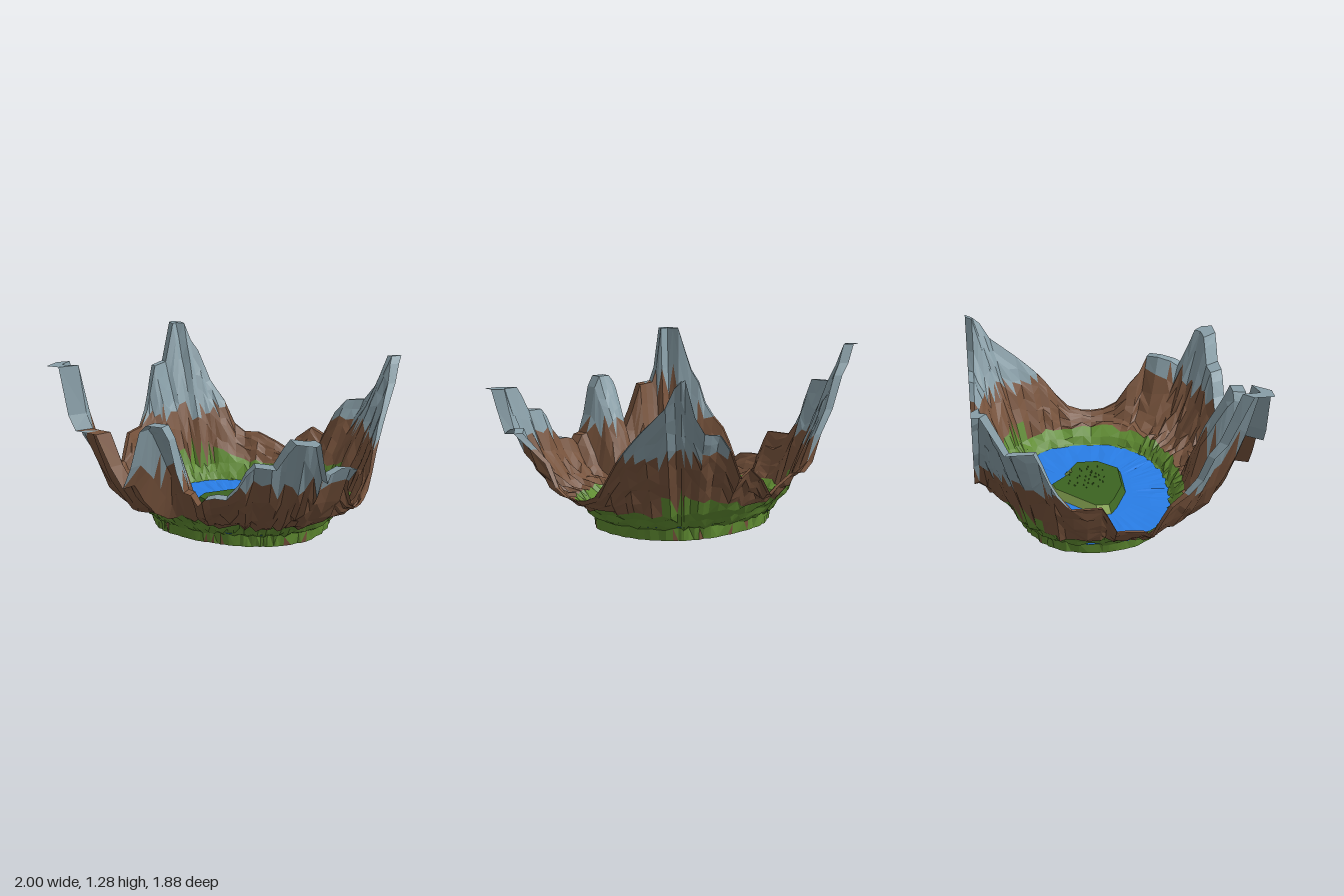
import * as THREE from 'three';

const mat = (name, color) => {
  const m = new THREE.MeshStandardMaterial({ color, side: THREE.DoubleSide });
  m.name = name;
  return m;
};

// repeatable noise in -1..1
const noise = (a, b) => {
  const s = Math.sin(a * 127.1 + b * 311.7 + 4.3) * 43758.5453;
  return (s - Math.floor(s)) * 2 - 1;
};

// ridge profiles along the four edges of the square: [position, height]
const BACK = [[-1, 1.25], [-0.92, 1.25], [-0.86, 1.12], [-0.79, 1.04], [-0.68, 0.81], [-0.55, 0.65], [-0.46, 0.47], [-0.37, 0.41],
  [-0.25, 0.42], [-0.1, 0.36], [0, 0.31], [0.08, 0.42], [0.2, 0.51], [0.3, 0.46], [0.4, 0.65], [0.5, 0.76], [0.65, 0.78],
  [0.75, 0.9], [0.84, 1.13], [0.88, 1.13]];
const RIGHT = [[-0.94, 1.13], [-0.88, 1.08], [-0.8, 0.95], [-0.7, 0.87], [-0.6, 0.79], [-0.5, 0.7], [-0.43, 0.63], [-0.36, 0.55],
  [-0.27, 0.42], [-0.18, 0.32], [-0.08, 0.28], [0, 0.27], [0.1, 0.28], [0.2, 0.33], [0.3, 0.48], [0.4, 0.57], [0.48, 0.68],
  [0.56, 0.7], [0.66, 0.68], [0.72, 0.64], [0.8, 0.8], [0.86, 0.94], [0.94, 0.94]];
const FRONT = [[-1, 1.28], [-0.91, 1.28], [-0.85, 0.96], [-0.8, 0.86], [-0.65, 0.85], [-0.55, 0.64], [-0.46, 0.5], [-0.4, 0.65],
  [-0.33, 0.9], [-0.28, 0.95], [-0.17, 0.95], [-0.12, 0.87], [-0.07, 0.66], [-0.02, 0.53], [0.03, 0.52], [0.08, 0.45],
  [0.13, 0.5], [0.2, 0.52], [0.28, 0.52], [0.36, 0.6], [0.42, 0.7], [0.48, 0.76], [0.62, 0.76], [0.7, 0.88], [0.75, 0.94], [0.88, 0.94]];
const LEFT = [[-0.94, 1.25], [-0.89, 1.25], [-0.79, 1.05], [-0.75, 0.97], [-0.57, 0.97], [-0.53, 0.88], [-0.48, 0.75],
  [-0.43, 0.65], [-0.34, 0.54], [-0.14, 0.54], [-0.1, 0.47], [-0.04, 0.35], [0.05, 0.35], [0.14, 0.34], [0.2, 0.3], [0.26, 0.42],
  [0.32, 0.52], [0.42, 0.6], [0.51, 0.7], [0.58, 0.86], [0.66, 0.95], [0.73, 1.1], [0.81, 1.28], [0.94, 1.28]];

const CX = -0.055, CZ = -0.105, RX = 0.655, RZ = 0.54;

// edge points clockwise from the back left corner: x, z, ridge height, slope power, start of the level rim
function edgePoints() {
  const sides = [[BACK, (v) => [v, -0.94]], [RIGHT, (v) => [0.88, v]],
    [FRONT.slice().reverse(), (v) => [v, 0.94]], [LEFT.slice().reverse(), (v) => [-1, v]]];
  const pts = [];
  sides.forEach(([table, place], side) => {
    const add = (v, y) => {
      const [x, z] = place(v);
      // overhanging crag on the right edge
      const crag = side === 1 ? Math.max(0, 0.12 - Math.abs(z - 0.48)) : 0;
      // back slopes rise evenly, front ones late, the middle peak early
      const peak = side === 2 && x > -0.42 && x < -0.04;
      const p = peak ? 0.75 : 0.95 + 1.3 * THREE.MathUtils.smoothstep(z, -0.5, 0.4);
      pts.push({ x: x + crag, z, y, p, rim: side === 2 ? 0.78 : 0.85 });
    };
    for (let i = 0; i + 1 < table.length; i++) {
      const [a, ya] = table[i], [b, yb] = table[i + 1];
      add(a, ya);
      if (Math.abs(b - a) > 0.105) add((a + b) / 2, (ya + yb) / 2);
    }
  });
  return pts;
}

// fraction of the way from lake centre to an edge point where the shore lies
const shoreFraction = (p) =>
  (Math.abs((p.x - CX) / RX) ** 2.3 + Math.abs((p.z - CZ) / RZ) ** 2.3) ** (-1 / 2.3);

// loop around the lake at a scale of the shoreline
const lakeLoop = (edge, s, y, seed, rough, wave) => edge.map((p, i) => {
  const k = shoreFraction(p) * (s + rough * noise(i, seed));
  return [CX + (p.x - CX) * k, y + wave * noise(seed, i), CZ + (p.z - CZ) * k];
});

// shell of rings: stepped green bank, slopes, then a level rim along the square
function terrainRings(edge) {
  const rings = [[0.985, 0], [1.0, 0.08], [1.06, 0.105], [1.11, 0.15]]
    .map(([s, y], r) => lakeLoop(edge, s, y, r, 0.014, r ? 0.012 : 0));
  [0, 0.16, 0.32, 0.47, 0.61, 0.74, 0.87, 1].forEach((t, r) => rings.push(edge.map((p, i) => {
    const inner = r > 0 && t < 1 ? 1 : 0;
    const k0 = shoreFraction(p) * (1.2 + 0.03 * noise(i, 20));
    const tt = t + inner * 0.04 * noise(i, 30 + r);
    const k = k0 + (1 - k0) * tt * p.rim;
    const base = 0.2 + 0.02 * noise(i, 40);
    const y = base + (p.y - base) * tt ** p.p + inner * 0.02 * noise(i, 50 + r);
    return [CX + (p.x - CX) * k, y, CZ + (p.z - CZ) * k];
  })));
  rings.push(edge.map((p) => [p.x, p.y, p.z]));
  return rings;
}

function facets(name, triangles, material) {
  const g = new THREE.BufferGeometry();
  g.setAttribute('position', new THREE.Float32BufferAttribute(triangles.flat(2), 3));
  g.computeVertexNormals();
  const m = new THREE.Mesh(g, material);
  m.name = name;
  return m;
}

// triangles joining two closed loops
function band(a, b) {
  return a.flatMap((_, i) => {
    const j = (i + 1) % a.length;
    return i % 2 ? [[a[i], a[j], b[i]], [a[j], b[j], b[i]]] : [[a[i], a[j], b[j]], [a[i], b[j], b[i]]];
  });
}

// flat sheet from loops of points
function sheet(name, outline, holes, y, material) {
  const v = (pts) => pts.map(([x, , z]) => new THREE.Vector2(x, -z));
  const shape = new THREE.Shape(v(outline));
  shape.holes = holes.map((h) => new THREE.Path(v(h)));
  const m = new THREE.Mesh(new THREE.ShapeGeometry(shape).rotateX(-Math.PI / 2), material);
  m.name = name;
  m.position.y = y;
  return m;
}

export function createModel() {
  const group = new THREE.Group();
  group.name = 'mountainLake';
  const rock = mat('rock grey', 0x889ea7), soil = mat('soil brown', 0x77533c);
  const grass = mat('grass green', 0x5f8b31), meadow = mat('meadow green', 0x3c6421);
  const bankGreen = mat('bank light green', 0x8fae58), blue = mat('water blue', 0x2b83f0);

  // mountains, coloured by height, with bare soil patches low on the bank
  const edge = edgePoints();
  const rings = terrainRings(edge);
  const low = [], mid = [], high = [];
  for (let r = 0; r + 1 < rings.length; r++) {
    band(rings[r], rings[r + 1]).forEach((tri, i) => {
      const [x, y, z] = [0, 1, 2].map((k) => (tri[0][k] + tri[1][k] + tri[2][k]) / 3);
      const foothill = x > -0.86 && x < -0.5 && z > 0.55 ? 0.26 : 0;
      const rockyRim = r === rings.length - 2 && z > 0.8 && x > 0.1 ? 0.12 : 0;
      const grassy = r < 4 || (r === 4 && z < 0.1 && y < 0.29 && Math.abs(x - CX) < 0.68);
      const bare = r === 0 && noise(i, 91) > 0.86;
      if (y > 0.6 + foothill - rockyRim + 0.02 * noise(i, r)) high.push(tri);
      else if (!bare && grassy) low.push(tri);
      else mid.push(tri);
    });
  }
  group.add(facets('grassyShore', low, grass), facets('brownSlopes', mid, soil), facets('rockyPeaks', high, rock));

  // island: underwater bank, rim and flat meadow with a small notch
  const outline = [[-0.38, 0], [-0.38, -0.1], [-0.1, -0.39], [-0.02, -0.41], [0.15, -0.27], [0.21, -0.27],
    [0.3, -0.18], [0.3, -0.01], [0.17, 0.14], [-0.1, 0.14], [-0.3, 0.05]];
  const loop = (s, y) => outline.map(([x, z]) => [-0.04 + (x + 0.04) * s, y, -0.13 + (z + 0.13) * s]);
  const foot = loop(1.08, 0), waterline = loop(1, 0.1), crown = loop(0.9, 0.16);
  [4, 5].forEach((i) => { crown[i][2] += 0.03; });
  const rim = band(waterline, crown);
  const isLight = (i) => [0, 1, 2, 4].includes(Math.floor(i / 2));
  group.add(
    facets('islandFoot', band(foot, waterline), bankGreen),
    facets('islandLightRim', rim.filter((_, i) => isLight(i)), bankGreen),
    facets('islandDarkRim', rim.filter((_, i) => !isLight(i)), meadow),
    sheet('islandMeadow', crown, [], 0.16, meadow),
  );

  // small grass tufts on the island
  const tufts = new THREE.Group();
  tufts.name = 'grassTufts';
  const blade = new THREE.ConeGeometry(0.006, 0.014, 3);
  for (let i = 0; i < 36; i++) {
    const t = new THREE.Mesh(blade, meadow);
    t.name = 'tuft';
    t.position.set(0.04 + 0.15 * noise(i, 81), 0.166, -0.14 + 0.14 * noise(i, 82));
    tufts.add(t);
  }
  group.add(tufts);

  // lake bed with an opening beneath the island
  group.add(sheet('lakeBed', rings[0], [foot], 0, soil));

  // gently rippled water with a calm middle
  const calm = lakeLoop(edge, 0.55, 0.1, 100, 0, 0);
  const ripple = lakeLoop(edge, 0.8, 0.1, 101, 0.03, 0.005);
  const margin = lakeLoop(edge, 1.03, 0.1, 102, 0.025, 0.003);
  group.add(
    sheet('calmWater', calm, [], 0.1, blue),
    facets('rippledWater', [...band(calm, ripple), ...band(ripple, margin)], blue),
  );
  return group;
}
